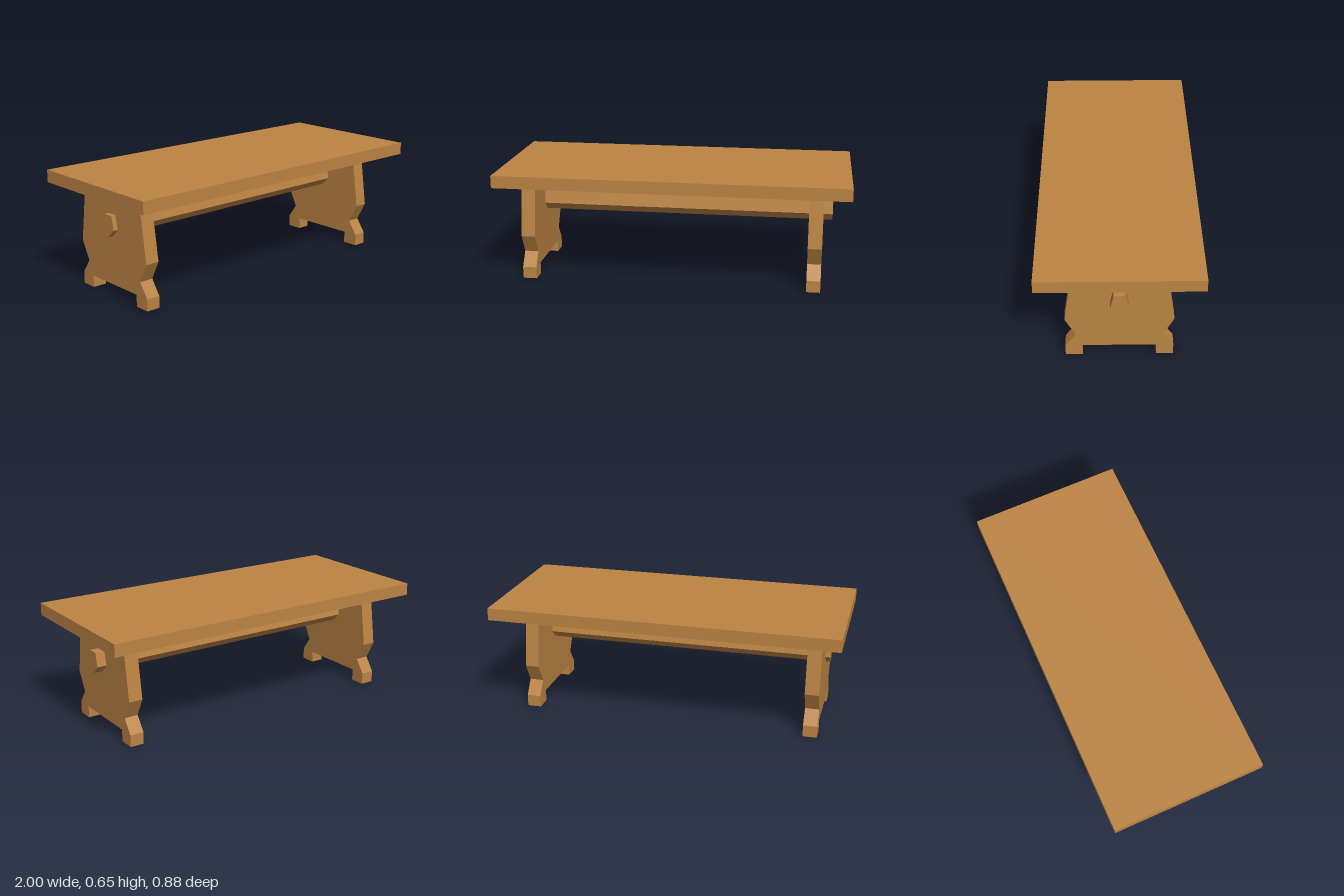
import * as THREE from 'three';

// Extrudes a (z, y) outline along x, from x0 to x1
function extrudeAlongX(points, x0, x1) {
  const shape = new THREE.Shape(points.map(([z, y]) => new THREE.Vector2(z, y)));
  const geometry = new THREE.ExtrudeGeometry(shape, { depth: x1 - x0, bevelEnabled: false });
  geometry.rotateY(Math.PI / 2);
  geometry.translate(x0, 0, 0);
  return geometry;
}

// Completes a half outline by mirroring it across z = 0
const mirrored = (half) => [...half, ...half.map(([z, y]) => [-z, y]).reverse()];

export function createModel() {
  const group = new THREE.Group();
  const wood = new THREE.MeshStandardMaterial({ color: 0xbc8443 });
  wood.name = 'wood';

  const add = (name, geometry) => {
    const mesh = new THREE.Mesh(geometry, wood);
    mesh.name = name;
    group.add(mesh);
  };

  // Table top
  const top = new THREE.BoxGeometry(2, 0.071, 0.876);
  top.translate(0, 0.6185, 0);
  add('tableTop', top);

  // Trestle legs: tapered board with notched waist and two feet
  const legOutline = mirrored([
    [0.2, 0.068], [0.2, 0], [0.293, 0], [0.293, 0.068],
    [0.236, 0.149], [0.293, 0.258], [0.246, 0.583],
  ]);
  add('rightLeg', extrudeAlongX(legOutline, -0.882, -0.802));
  add('leftLeg', extrudeAlongX(legOutline, 0.77, 0.85));

  // Five-sided stretcher passing through both legs
  const stretcherOutline = [[0, 0.346], [0.049, 0.393], [0.031, 0.471], [-0.031, 0.471], [-0.049, 0.393]];
  add('stretcher', extrudeAlongX(stretcherOutline, -0.909, 0.905));

  return group;
}
